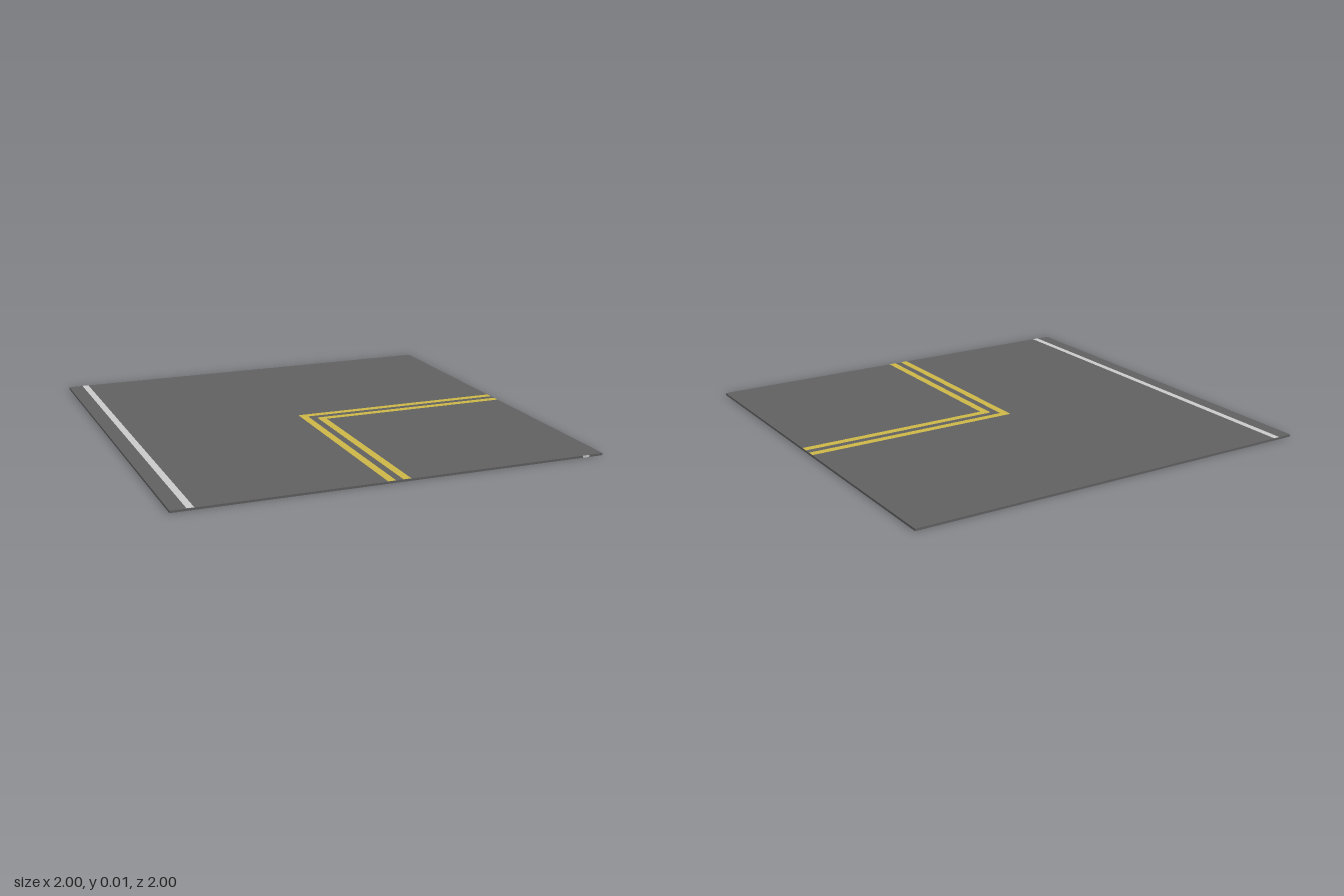
import * as THREE from 'three';

const THICK = 0.01;
const LIFT = 0.001;

export function createModel() {
  const asphalt = new THREE.MeshStandardMaterial({ color: 0x606060 });
  asphalt.name = 'asphalt';
  const yellow = new THREE.MeshStandardMaterial({ color: 0xccb647 });
  yellow.name = 'yellowPaint';
  const white = new THREE.MeshStandardMaterial({ color: 0xcacaca });
  white.name = 'whitePaint';

  const group = new THREE.Group();
  group.name = 'roadTile';
  const add = (name, geometry, material) => {
    const mesh = new THREE.Mesh(geometry, material);
    mesh.name = name;
    group.add(mesh);
    return mesh;
  };

  // Road slab
  add('roadSlab', new THREE.BoxGeometry(2, THICK, 2), asphalt).position.y = THICK / 2;

  // White edge line along the right-hand side
  add('edgeLine', new THREE.PlaneGeometry(0.032, 2).rotateX(-Math.PI / 2), white)
    .position.set(-0.914, THICK + LIFT, 0);

  // White mark on the front rim
  add('rimMark', new THREE.PlaneGeometry(0.032, THICK), white)
    .position.set(0.914, THICK / 2, 1 + LIFT / 2);

  // L-shaped centre line turning from the front edge to the left edge;
  // (x, z) is its outer corner, c a small bevel on that corner
  const cornerLine = (name, x, z, w = 0.037, c = 0.008) => {
    const outline = [
      [x, 1], [x + w, 1], [x + w, z + w], [1, z + w],
      [1, z], [x + c, z], [x, z + c],
    ].map(([px, pz]) => new THREE.Vector2(px, -pz));
    const flat = new THREE.ShapeGeometry(new THREE.Shape(outline)).rotateX(-Math.PI / 2);
    add(name, flat, yellow).position.y = THICK + LIFT;
  };
  cornerLine('outerCentreLine', -0.055, -0.056);
  cornerLine('innerCentreLine', 0.016, 0.014);

  return group;
}
